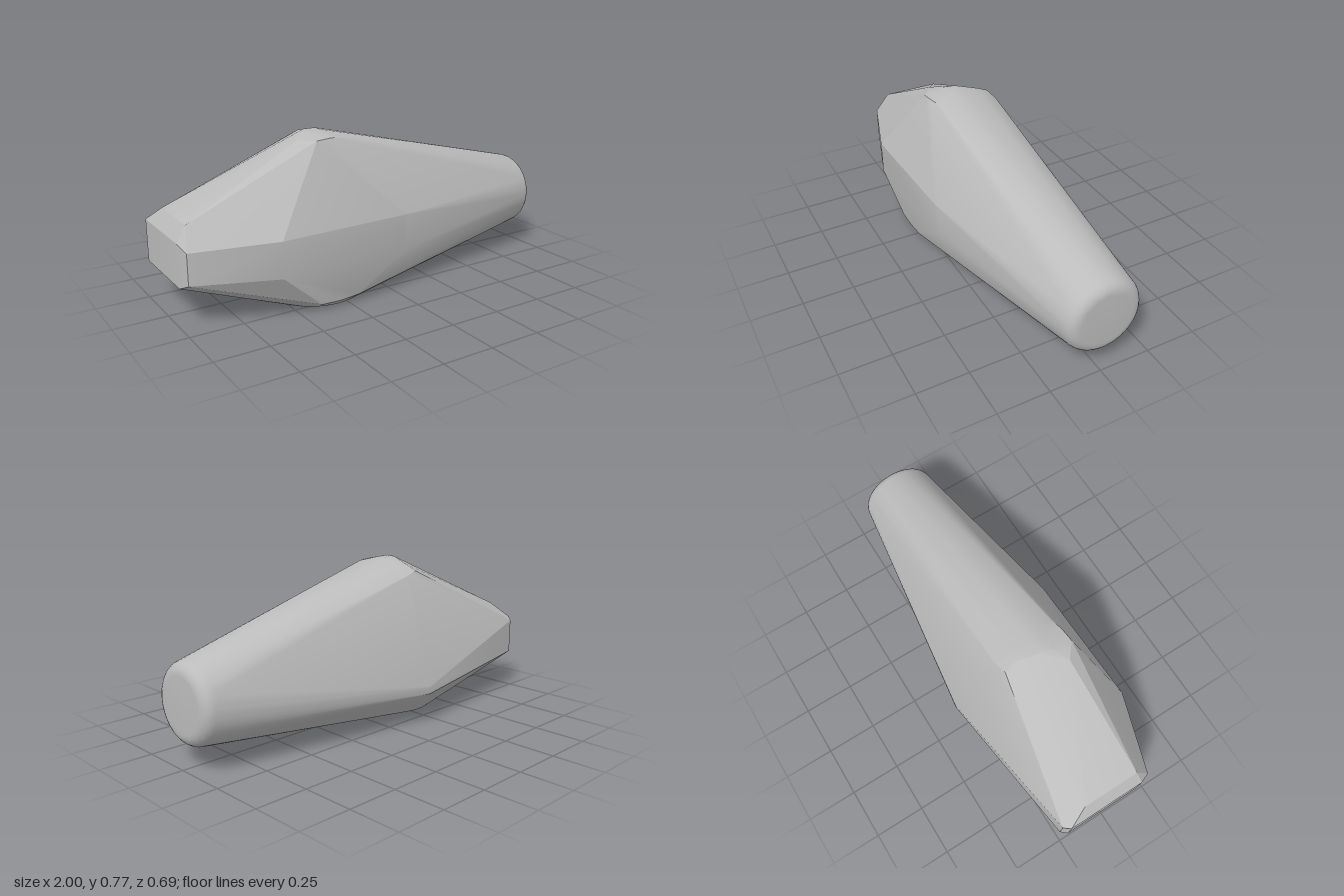
import * as THREE from 'three';
import { ConvexGeometry } from 'three/addons/geometries/ConvexGeometry.js';
import { toCreasedNormals } from 'three/addons/utils/BufferGeometryUtils.js';

const v = (x, y, z) => new THREE.Vector3(x, y, z);

// Points on a circle; place(c, s) turns the cosine and sine into a position
function ring(count, place) {
  return Array.from({ length: count }, (_, i) => {
    const a = (i / count) * Math.PI * 2;
    return place(Math.cos(a), Math.sin(a));
  });
}

export function createModel() {
  const group = new THREE.Group();
  group.name = 'taperedStone';
  const grey = new THREE.MeshStandardMaterial({ color: 0xbcbcbc });
  grey.name = 'stone grey';

  // Round nose with a rolled rim
  const nose = [];
  for (let i = 0; i <= 6; i++) {
    const t = (i / 6) * Math.PI / 2;
    const r = 0.13 + 0.059 * Math.cos(t);
    const x = 0.935 + 0.065 * Math.sin(t);
    nose.push(...ring(48, (c, s) => v(x, 0.288 + r * c, -0.01 + r * s)));
  }

  // Flat round foot
  const foot = ring(40, (c, s) => v(-0.3 + 0.23 * c, 0, 0.06 + 0.23 * s));

  // Bevelled blunt tail
  const tail = [
    v(-1, 0.19, -0.22), v(-1, 0.39, -0.22), v(-1, 0.19, 0.17), v(-1, 0.39, 0.17),
    v(-0.975, 0.2, -0.25), v(-0.975, 0.375, -0.25),
    v(-0.98, 0.215, 0.225), v(-0.98, 0.36, 0.225),
    v(-0.955, 0.46, -0.125), v(-0.955, 0.46, 0.16),
  ];

  // Faceted crown
  const crown = [
    v(-0.34, 0.745, 0.188), v(-0.27, 0.748, 0.18), v(-0.21, 0.745, 0.165),
    v(-0.41, 0.745, 0.13), v(-0.33, 0.77, 0.085), v(-0.26, 0.77, 0.08),
    v(-0.32, 0.77, 0.03), v(-0.26, 0.77, 0.03), v(-0.29, 0.745, -0.075),
    v(-0.23, 0.745, -0.07), v(-0.3, 0.715, -0.135), v(-0.23, 0.7, -0.148),
  ];

  // Front panel and rear ridge
  const front = [
    v(-0.6, 0.375, 0.345), v(-0.6, 0.205, 0.345),
    v(0.05, 0.375, 0.323), v(0.07, 0.25, 0.32), v(0.05, 0.2, 0.323),
    v(-0.4, 0.03, 0.32), v(-0.3, 0.027, 0.32), v(-0.2, 0.035, 0.318),
  ];
  const ridge = [v(-0.18, 0.15, -0.348), v(-0.18, 0.185, -0.348)];

  // One taut skin over all the sections
  const skin = new ConvexGeometry([...nose, ...foot, ...tail, ...crown, ...front, ...ridge]);
  const body = new THREE.Mesh(toCreasedNormals(skin, 0.35), grey);
  body.name = 'body';
  group.add(body);
  return group;
}
